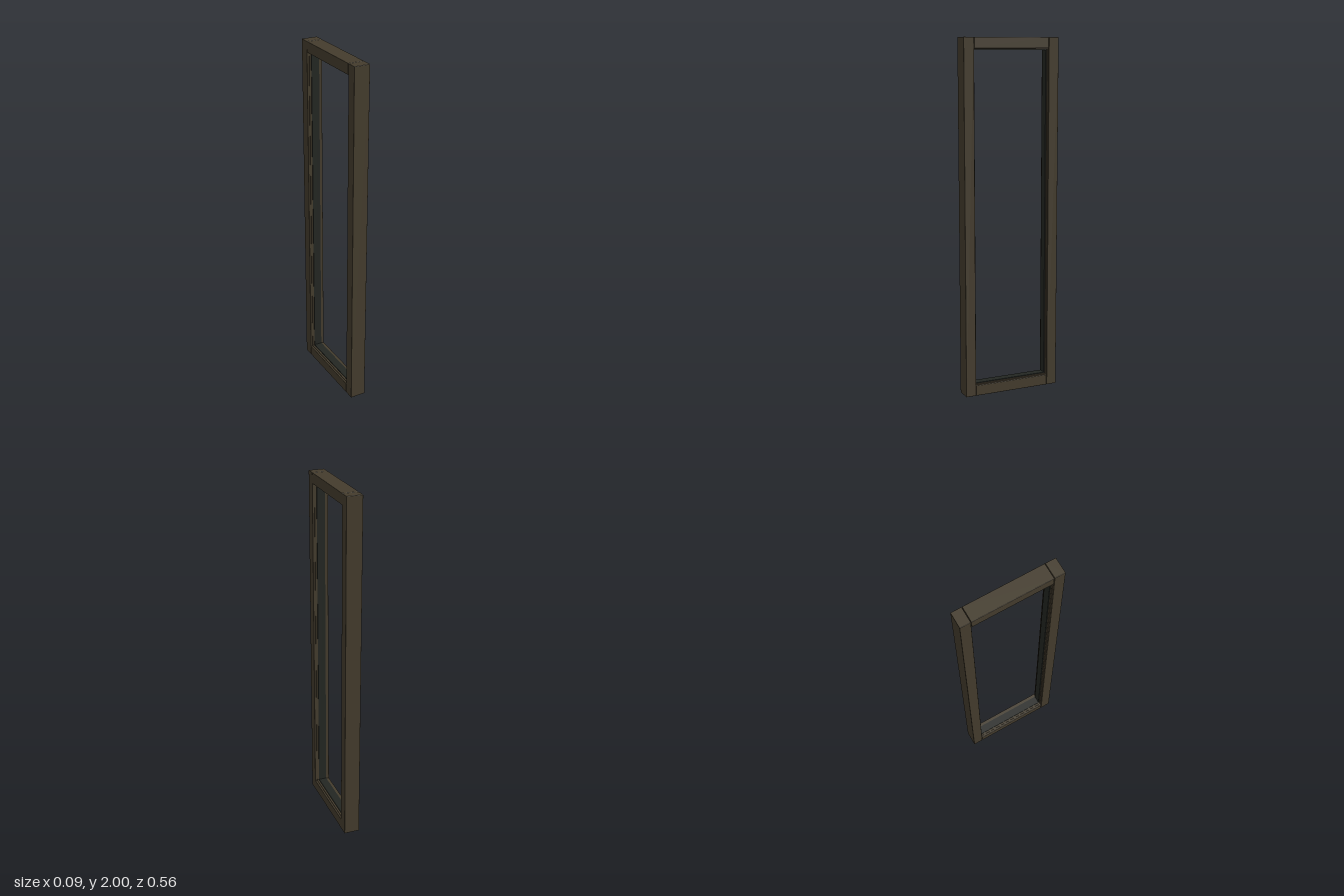
import * as THREE from 'three';
import { RoundedBoxGeometry } from 'three/addons/geometries/RoundedBoxGeometry.js';

const HEIGHT = 2, HALF_WIDTH = 0.283, DEPTH = 0.09, BAR = 0.06;

export function createModel() {
  const group = new THREE.Group();
  const bronze = new THREE.MeshStandardMaterial({ name: 'dark bronze', color: 0x443c2d });
  const rubber = new THREE.MeshStandardMaterial({ name: 'black rubber', color: 0x232622 });

  const bar = (name, height, width, y, z) => {
    const mesh = new THREE.Mesh(new RoundedBoxGeometry(DEPTH, height, width, 2, 0.002), bronze);
    mesh.name = name;
    mesh.position.set(0, y, z);
    group.add(mesh);
  };

  // Rectangular ring lining the opening; inset is measured from the outer edge of the frame
  const ring = (name, inset, outerInset, depth, material) => {
    const rect = (Type, d) => {
      const w = HALF_WIDTH - d;
      return new Type([[-w, d], [w, d], [w, HEIGHT - d], [-w, HEIGHT - d]]
        .map(([x, y]) => new THREE.Vector2(x, y)));
    };
    const shape = rect(THREE.Shape, outerInset);
    shape.holes.push(rect(THREE.Path, inset));
    const geometry = new THREE.ExtrudeGeometry(shape, { depth, bevelEnabled: false });
    geometry.translate(0, 0, -depth / 2).rotateY(Math.PI / 2);
    const mesh = new THREE.Mesh(geometry, material);
    mesh.name = name;
    group.add(mesh);
  };

  // Upright posts, full height
  for (const side of [1, -1]) {
    bar(side > 0 ? 'frontPost' : 'backPost', HEIGHT, BAR - 0.001, HEIGHT / 2,
      side * (HALF_WIDTH - BAR / 2));
  }

  // Rails between the posts, with a fine joint at each end
  const railLength = 2 * (HALF_WIDTH - BAR) - 0.003;
  bar('bottomRail', BAR, railLength, BAR / 2, 0);
  bar('topRail', BAR, railLength, HEIGHT - BAR / 2, 0);

  // Stepped lining inside the opening
  ring('innerStep', 0.064, 0.04, 0.068, bronze);
  ring('gasket', 0.069, 0.05, 0.046, rubber);

  return group;
}
